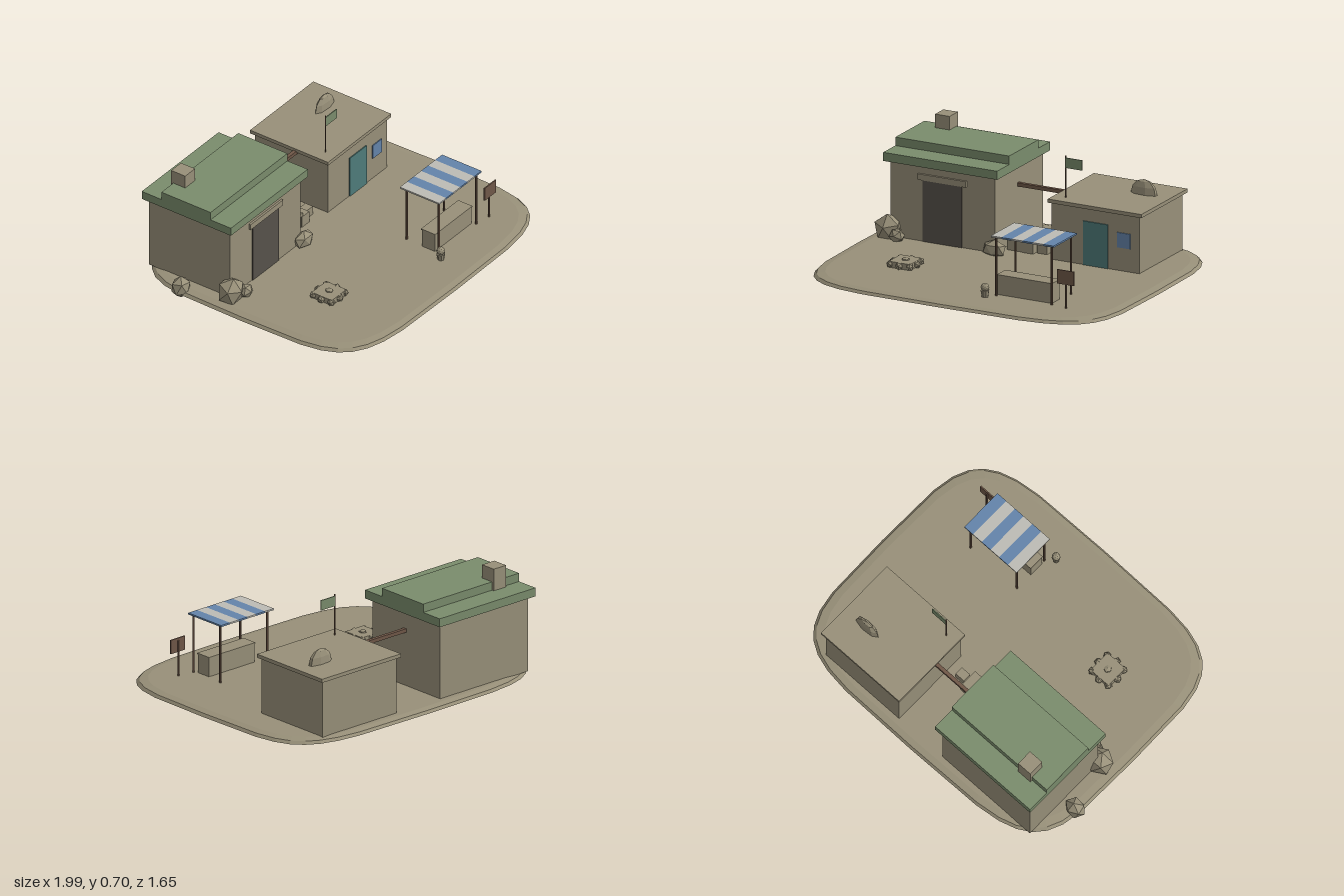
import * as THREE from 'three';

const mat = (name, color) => {
  const m = new THREE.MeshStandardMaterial({ color, flatShading: true });
  m.name = name;
  return m;
};

export function createModel() {
  const g = new THREE.Group();
  g.name = 'outpost';
  const sand = mat('sandstone', 0x989079);
  const green = mat('roofGreen', 0x7a8c6c);
  const dark = mat('darkDoorway', 0x57524b);
  const teal = mat('tealDoor', 0x4f7c7a);
  const blue = mat('clothBlue', 0x6484aa);
  const white = mat('clothWhite', 0xbdbcb5);
  const brown = mat('wood', 0x705848);

  const add = (name, geo, m, x = 0, y = 0, z = 0) => {
    const mesh = new THREE.Mesh(geo, m);
    mesh.name = name;
    mesh.position.set(x, y, z);
    g.add(mesh);
    return mesh;
  };
  // box given by its min and max on each axis
  const box = (name, m, x0, x1, y0, y1, z0, z1) =>
    add(name, new THREE.BoxGeometry(x1 - x0, y1 - y0, z1 - z0), m,
      (x0 + x1) / 2, (y0 + y1) / 2, (z0 + z1) / 2);
  const rock = (name, x, y, z, sx, sy, sz, turn = 0) => {
    const r = add(name, new THREE.IcosahedronGeometry(1, 0).rotateZ(turn).rotateY(turn * 2), sand, x, y, z);
    r.scale.set(sx, sy, sz);
    return r;
  };

  // ground slab: a lathe squared off into a rounded rectangle
  const profile = [[0, 0.029], [0.97, 0.029], [1, 0.036], [0.985, 0.052], [0.94, 0.06], [0, 0.061]];
  const ground = new THREE.LatheGeometry(profile.map(p => new THREE.Vector2(...p)), 32);
  const pos = ground.attributes.position;
  const squash = v => Math.sign(v) * Math.pow(Math.abs(v), 0.4);
  for (let i = 0; i < pos.count; i++) {
    const x = pos.getX(i), z = pos.getZ(i), r = Math.hypot(x, z);
    if (r < 1e-6) continue;
    pos.setX(i, r * squash(x / r) * 0.987);
    pos.setZ(i, r * squash(z / r) * 0.823);
  }
  ground.computeVertexNormals();
  add('ground', ground, sand, 0.008, 0, -0.003);

  // main building
  box('mainWalls', sand, -0.85, -0.165, 0.055, 0.52, -0.74, -0.165);
  box('mainRoofLower', green, -0.88, -0.135, 0.515, 0.567, -0.77, -0.135);
  box('mainRoofUpper', green, -0.88, -0.135, 0.567, 0.618, -0.63, -0.28);
  box('chimney', sand, -0.765, -0.67, 0.56, 0.7, -0.645, -0.545);
  box('mainDoorway', dark, -0.635, -0.38, 0.06, 0.43, -0.167, -0.159);
  box('doorLintel', sand, -0.665, -0.35, 0.43, 0.466, -0.17, -0.152);

  // side building
  box('annexWalls', sand, 0.175, 0.748, 0.055, 0.405, -0.74, -0.22);
  box('annexRoof', sand, 0.157, 0.77, 0.403, 0.425, -0.76, -0.205);
  box('annexDoor', teal, 0.383, 0.545, 0.06, 0.325, -0.222, -0.214);
  box('annexWindow', blue, 0.605, 0.692, 0.2, 0.29, -0.222, -0.214);
  const dome = new THREE.SphereGeometry(1, 7, 3, 0, Math.PI * 2, 0, Math.PI / 2);
  add('roofDome', dome, sand, 0.598, 0.424, -0.555).scale.set(0.088, 0.09, 0.028);
  add('flagPole', new THREE.CylinderGeometry(0.004, 0.004, 0.26, 6), brown, 0.234, 0.546, -0.28);
  box('flag', green, 0.236, 0.342, 0.604, 0.665, -0.283, -0.277);

  // beam between the buildings
  box('linkBeam', brown, -0.17, 0.18, 0.388, 0.41, -0.453, -0.431);

  // crates
  box('crateLarge', sand, -0.135, -0.02, 0.055, 0.153, -0.365, -0.255);
  box('crateMedium', sand, -0.035, 0.037, 0.055, 0.132, -0.37, -0.25);
  box('crateSmall', sand, 0.047, 0.112, 0.055, 0.115, -0.333, -0.28);

  // market stall with striped awning
  const stripe = 0.41 / 6;
  for (let i = 0; i < 6; i++)
    box('awningStripe', i % 2 ? blue : white, 0.2 + i * stripe, 0.2 + (i + 1) * stripe, 0.414, 0.424, 0.275, 0.555);
  for (const x of [0.225, 0.588])
    for (const z of [0.305, 0.534])
      add('awningPost', new THREE.CylinderGeometry(0.007, 0.007, 0.36, 6), brown, x, 0.236, z);
  box('counter', sand, 0.22, 0.575, 0.055, 0.174, 0.417, 0.51);
  box('counterTop', sand, 0.217, 0.578, 0.174, 0.181, 0.413, 0.514);

  // sign
  add('signPost', new THREE.CylinderGeometry(0.006, 0.006, 0.22, 6), brown, 0.69, 0.166, 0.55);
  box('signBoard', brown, 0.635, 0.745, 0.205, 0.29, 0.553, 0.561);

  // potted plant
  add('pot', new THREE.CylinderGeometry(0.026, 0.019, 0.04, 8), sand, 0.177, 0.08, 0.583);
  add('plant', new THREE.IcosahedronGeometry(0.025, 1), sand, 0.177, 0.118, 0.583);

  // stone ring
  for (let i = 0; i < 8; i++) {
    const a = i * Math.PI / 4, d = i % 2 ? 0.09 : 0.075;
    rock('ringStone', -0.505 + d * Math.cos(a), 0.078, 0.287 + d * Math.sin(a), 0.024, 0.024, 0.024, i);
  }
  box('hearthSlab', sand, -0.575, -0.435, 0.058, 0.097, 0.217, 0.36);
  rock('hearthStone', -0.503, 0.095, 0.288, 0.025, 0.018, 0.027, 0.6);

  // boulders
  rock('boulder', -0.936, 0.065, -0.45, 0.068, 0.068, 0.058, 0.4);
  rock('boulder', -0.855, 0.11, -0.155, 0.09, 0.092, 0.08, 0.8);
  rock('boulder', -0.775, 0.088, -0.105, 0.05, 0.045, 0.04, 1.3);
  rock('boulder', -0.16, 0.092, -0.145, 0.078, 0.056, 0.048, 0.5);

  return g;
}
